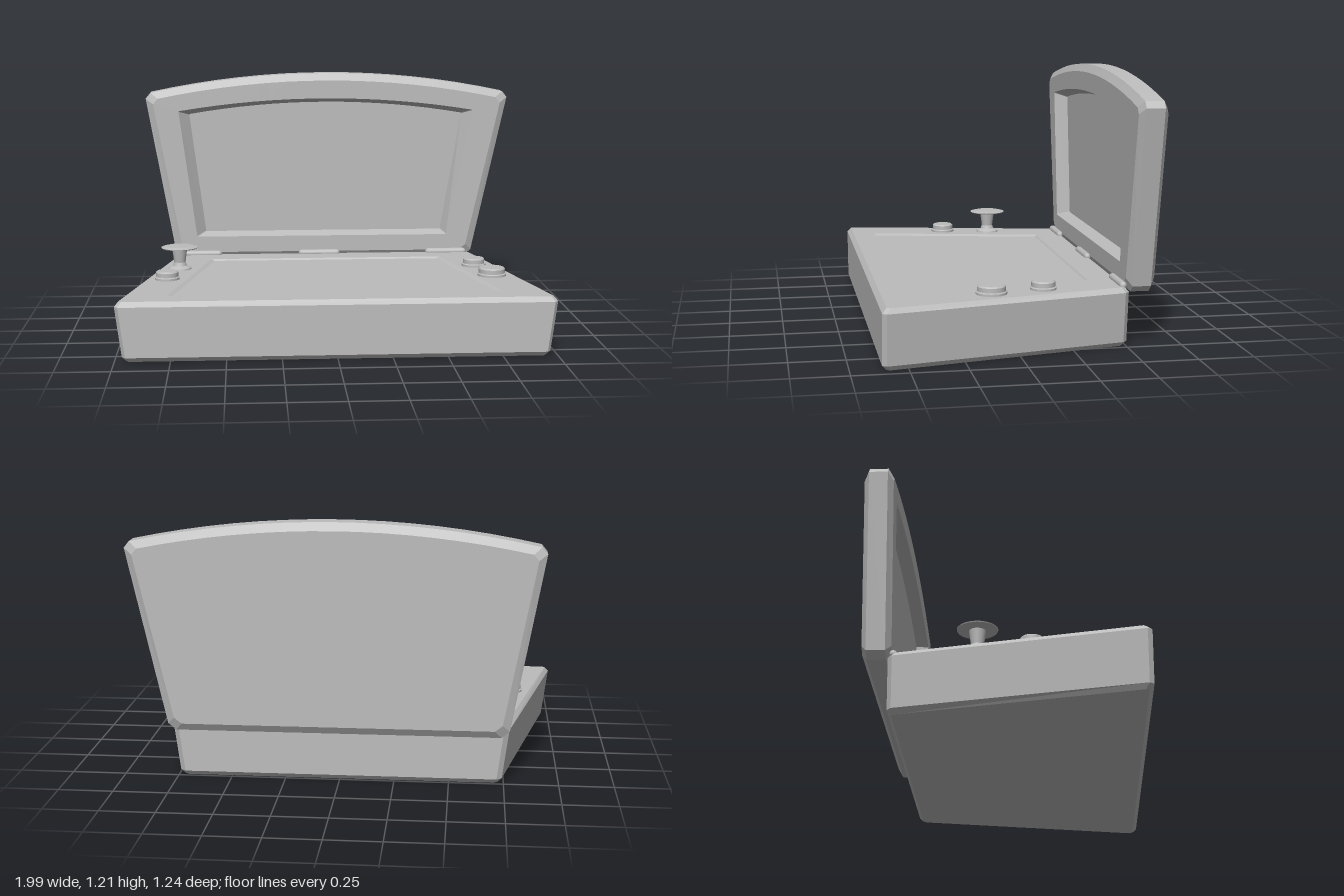
import * as THREE from 'three';

const grey = new THREE.MeshStandardMaterial({ color: 0xbcbcbc });
grey.name = 'plain grey';

// Joins counter-clockwise outlines stacked along z, closing both ends with flat shading.
function loft(layers) {
  const pos = [];
  const put = (p, z) => pos.push(p[0], p[1], z);
  const n = layers[0].pts.length;
  for (let k = 0; k < layers.length - 1; k++) {
    const lo = layers[k], hi = layers[k + 1];
    for (let i = 0; i < n; i++) {
      const j = (i + 1) % n;
      put(lo.pts[i], lo.z); put(lo.pts[j], lo.z); put(hi.pts[j], hi.z);
      put(lo.pts[i], lo.z); put(hi.pts[j], hi.z); put(hi.pts[i], hi.z);
    }
  }
  const first = layers[0], last = layers[layers.length - 1];
  for (let i = 1; i < n - 1; i++) {
    put(first.pts[0], first.z); put(first.pts[i + 1], first.z); put(first.pts[i], first.z);
    put(last.pts[0], last.z); put(last.pts[i], last.z); put(last.pts[i + 1], last.z);
  }
  const geo = new THREE.BufferGeometry();
  geo.setAttribute('position', new THREE.Float32BufferAttribute(pos, 3));
  geo.computeVertexNormals();
  return geo;
}

// Trapezoid with clipped corners; front and back are z positions, laid out with y = -z.
function baseRing(frontHalf, backHalf, front, back, c) {
  const slope = (frontHalf - backHalf) / (front - back);
  return [
    [-frontHalf + c, -front], [frontHalf - c, -front],
    [frontHalf - c * slope, -front + c], [backHalf + c * slope, -back - c],
    [backHalf - c, -back], [-backHalf + c, -back],
    [-backHalf - c * slope, -back - c], [-frontHalf + c * slope, -front + c],
  ];
}

// Flared outline with an arched top and clipped corners, optionally shrunk by an inset.
function lidRing({ bl, br, yb, tl, tr, yt, sag, c }, inset = 0) {
  const h = yt - yb;
  const sideX = (b, t, y) => b + (t - b) * (y - yb) / h;
  const pts = [
    [bl + c, yb], [br - c, yb],
    [sideX(br, tr, yb + c), yb + c], [sideX(br, tr, yt - c), yt - c],
  ];
  const steps = 16;
  for (let i = 0; i <= steps; i++) {
    const t = 1 - 2 * i / steps;
    const mid = (tl + tr) / 2, half = (tr - tl) / 2 - c;
    pts.push([mid + half * t, yt + sag * (1 - t * t)]);
  }
  pts.push([sideX(bl, tl, yt - c), yt - c], [sideX(bl, tl, yb + c), yb + c]);
  const cx = 0.015, cy = 0.72;
  return pts.map(([x, y]) => [cx + (x - cx) * (1 - inset / 0.85), cy + (y - cy) * (1 - inset / 0.47)]);
}

function add(parent, name, geometry, x = 0, y = 0, z = 0) {
  const mesh = new THREE.Mesh(geometry, grey);
  mesh.name = name;
  mesh.position.set(x, y, z);
  parent.add(mesh);
  return mesh;
}

// Revolved profile, with corners doubled so that edges stay sharp.
function turned(profile) {
  const group = [];
  for (let i = 0; i < profile.length - 1; i++) {
    const seg = [profile[i], profile[i + 1]].map(([r, y]) => new THREE.Vector2(r, y));
    group.push(new THREE.LatheGeometry(seg, 32));
  }
  return group;
}

function addTurned(parent, name, profile, x, y, z) {
  const part = new THREE.Group();
  part.name = name;
  part.position.set(x, y, z);
  turned(profile).forEach((geo, i) => add(part, name + 'Surface' + (i + 1), geo));
  parent.add(part);
}

export function createModel() {
  const model = new THREE.Group();
  model.name = 'hingedConsole';

  // Base with a bevelled rim and a shallow sunken panel
  const base = loft([
    { z: 0, pts: baseRing(0.95, 0.72, 0.595, -0.485, 0.015) },
    { z: 0.022, pts: baseRing(0.97, 0.738, 0.615, -0.503, 0.02) },
    { z: 0.252, pts: baseRing(1.0, 0.768, 0.615, -0.503, 0.02) },
    { z: 0.274, pts: baseRing(0.98, 0.75, 0.595, -0.485, 0.015) },
    { z: 0.274, pts: baseRing(0.77, 0.585, 0.485, -0.358, 0.002) },
    { z: 0.266, pts: baseRing(0.75, 0.57, 0.483, -0.35, 0.002) },
  ]);
  base.rotateX(-Math.PI / 2);
  add(model, 'base', base);

  // Upright lid with a recessed screen
  const outer = { bl: -0.765, br: 0.765, yb: 0.25, tl: -0.92, tr: 0.955, yt: 1.113, sag: 0.097, c: 0.03 };
  const rim = { bl: -0.66, br: 0.637, yb: 0.367, tl: -0.748, tr: 0.767, yt: 1.02, sag: 0.062, c: 0.003 };
  const floor = { bl: -0.615, br: 0.612, yb: 0.386, tl: -0.695, tr: 0.718, yt: 1.0, sag: 0.06, c: 0.003 };
  add(model, 'lid', loft([
    { z: -0.62, pts: lidRing(outer, 0.035) },
    { z: -0.597, pts: lidRing(outer) },
    { z: -0.513, pts: lidRing(outer) },
    { z: -0.49, pts: lidRing(outer, 0.035) },
    { z: -0.49, pts: lidRing(rim) },
    { z: -0.55, pts: lidRing(floor) },
  ]));

  // Hinge barrels with tapered ends
  for (const x of [-0.64, -0.028, 0.635]) {
    const barrel = new THREE.CapsuleGeometry(0.017, 0.18, 4, 12);
    barrel.rotateZ(Math.PI / 2);
    add(model, 'hinge', barrel, x, 0.278, -0.482);
  }

  // Push buttons
  for (const [x, z, r] of [[-0.785, 0.115, 0.059], [0.725, -0.12, 0.059], [0.775, 0.12, 0.069]]) {
    addTurned(model, 'button', [
      [r, 0], [r, 0.012], [r - 0.006, 0.016], [r - 0.006, 0.036], [r - 0.012, 0.042], [0, 0.042],
    ], x, 0.272, z);
  }

  // Joystick with a flared stem and a wide, slightly domed cap
  addTurned(model, 'joystick', [
    [0.058, 0], [0.055, 0.012], [0.034, 0.022], [0.028, 0.04], [0.037, 0.107],
    [0.088, 0.11], [0.09, 0.114], [0.065, 0.12], [0, 0.122],
  ], -0.735, 0.27, -0.12);

  return model;
}
